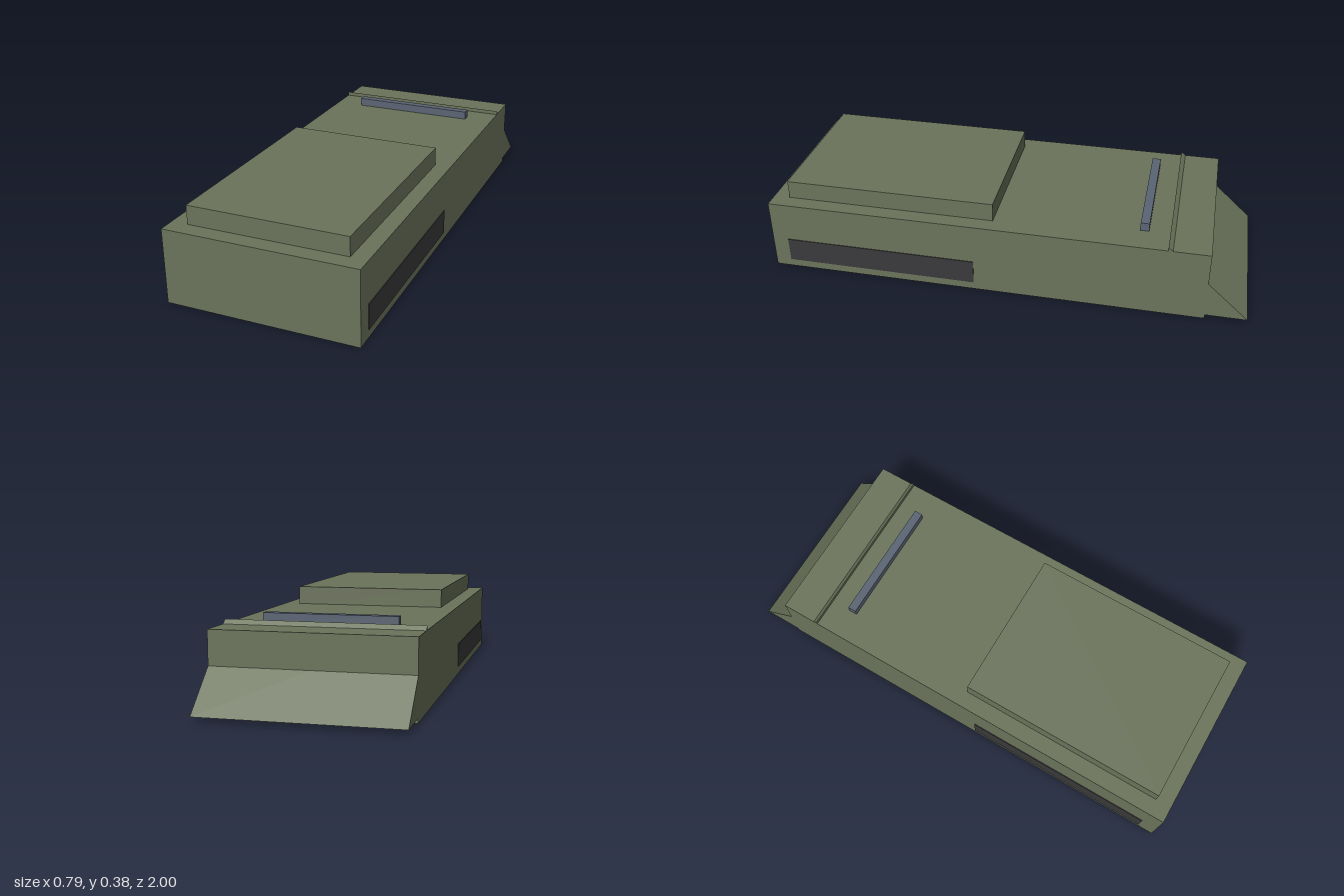
import * as THREE from 'three';

export function createModel() {
  const model = new THREE.Group();
  const material = (name, color) => {
    const m = new THREE.MeshStandardMaterial({ color });
    m.name = name;
    return m;
  };
  const olive = material('olive', 0x6b735b);
  const charcoal = material('charcoal', 0x3a393b);
  const slate = material('slate', 0x5a6473);

  // Box given by its limits on each axis
  const box = (name, mat, [x0, x1], [y0, y1], [z0, z1]) => {
    const mesh = new THREE.Mesh(new THREE.BoxGeometry(x1 - x0, y1 - y0, z1 - z0), mat);
    mesh.position.set((x0 + x1) / 2, (y0 + y1) / 2, (z0 + z1) / 2);
    mesh.name = name;
    model.add(mesh);
  };

  // Main hull and raised deck block
  box('hull', olive, [-0.39, 0.39], [0, 0.305], [-0.832, 1]);
  box('upperDeck', olive, [-0.323, 0.323], [0.305, 0.382], [0.05, 0.932]);

  // Rear bar on the deck
  box('rearBar', slate, [-0.268, 0.268], [0.305, 0.34], [-0.579, -0.543]);

  // Dark side panels
  box('leftSidePanel', charcoal, [0.387, 0.393], [0.034, 0.137], [0.12, 0.932]);
  box('rightSidePanel', charcoal, [-0.393, -0.387], [0.034, 0.137], [0.12, 0.932]);

  // Rear ramp: triangular prism, its top edge poking through the deck
  const profile = new THREE.Shape([
    new THREE.Vector2(0.664, 0.018),
    new THREE.Vector2(1, 0.018),
    new THREE.Vector2(0.664, 0.322),
  ]);
  const rampGeometry = new THREE.ExtrudeGeometry(profile, { depth: 0.78, bevelEnabled: false });
  rampGeometry.translate(0, 0, -0.39).rotateY(Math.PI / 2); // profile x becomes -z
  const ramp = new THREE.Mesh(rampGeometry, olive);
  ramp.name = 'rearRamp';
  model.add(ramp);

  return model;
}
